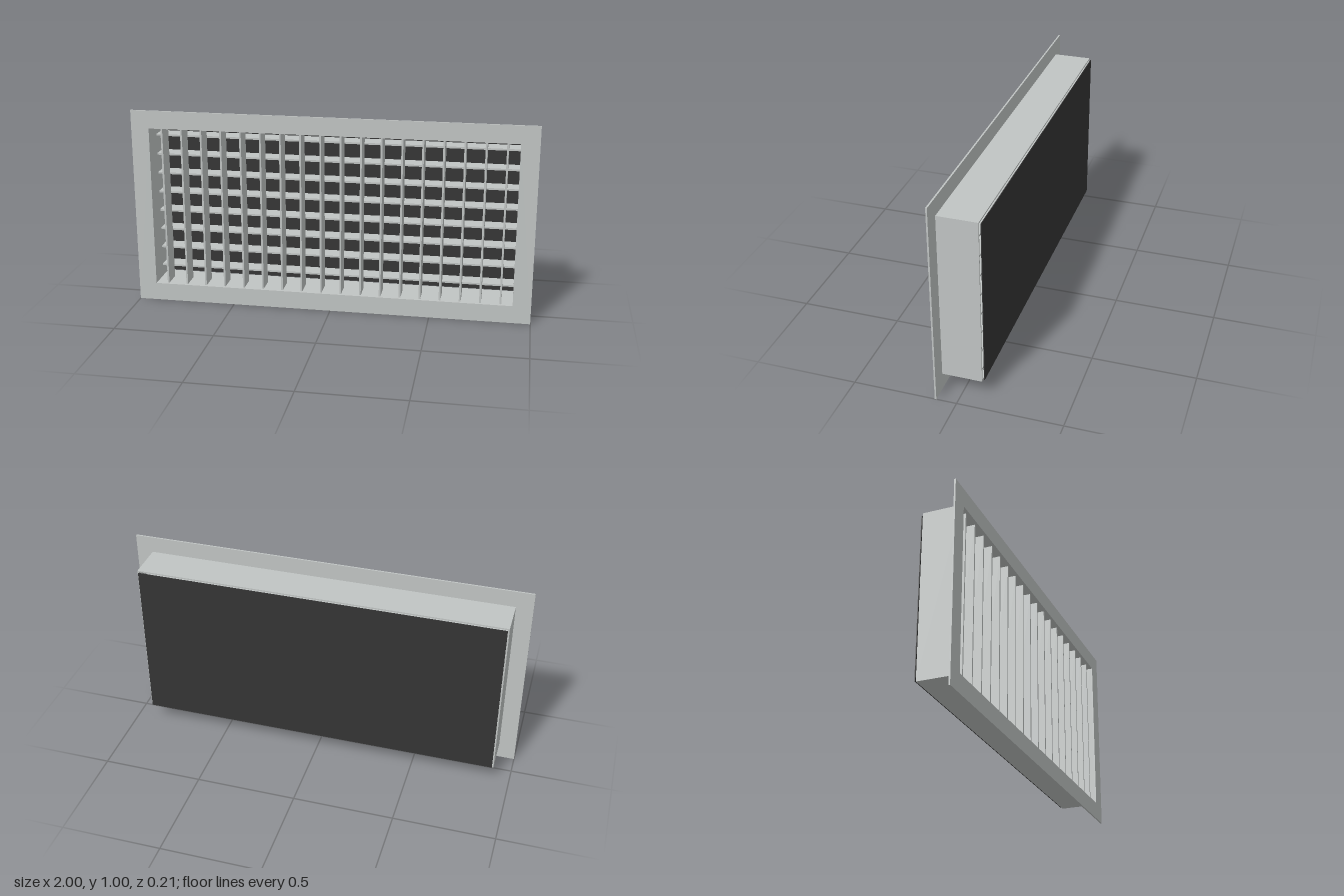
import * as THREE from 'three';

const metal = new THREE.MeshStandardMaterial({ color: 0xc0c4c3 });
metal.name = 'light grey metal';
const dark = new THREE.MeshStandardMaterial({ color: 0x343434 });
dark.name = 'dark backing';

// Rectangular ring extruded along z from z0 to z1
function ring(name, outerW, outerH, innerW, innerH, z0, z1) {
  const rect = (path, w, h) => path
    .moveTo(-w / 2, -h / 2).lineTo(w / 2, -h / 2)
    .lineTo(w / 2, h / 2).lineTo(-w / 2, h / 2).closePath();
  const shape = rect(new THREE.Shape(), outerW, outerH);
  shape.holes.push(rect(new THREE.Path(), innerW, innerH));
  const geometry = new THREE.ExtrudeGeometry(shape, { depth: z1 - z0, bevelEnabled: false });
  const mesh = new THREE.Mesh(geometry, metal);
  mesh.name = name;
  mesh.position.set(0, 0.5, z0);
  return mesh;
}

// Box spanning z0 to z1, centred on (x, y)
function slab(name, w, h, x, y, z0, z1, material) {
  const mesh = new THREE.Mesh(new THREE.BoxGeometry(w, h, z1 - z0), material);
  mesh.name = name;
  mesh.position.set(x, y, (z0 + z1) / 2);
  return mesh;
}

export function createModel() {
  const model = new THREE.Group();
  model.name = 'ventGrille';

  // Front flange and the duct collar behind it
  model.add(ring('frontFlange', 2, 1, 1.82, 0.82, 0.097, 0.105));
  model.add(ring('ductCollar', 1.834, 0.834, 1.82, 0.82, -0.094, 0.097));

  // Upright blades in front
  const uprights = new THREE.Group();
  uprights.name = 'verticalBlades';
  for (let i = 0; i < 18; i++) {
    uprights.add(slab('verticalBlade', 0.009, 0.82, -0.85 + i * 0.1, 0.5, -0.005, 0.09, metal));
  }
  model.add(uprights);

  // Level blades behind the uprights
  const levels = new THREE.Group();
  levels.name = 'horizontalBlades';
  for (let i = 0; i < 8; i++) {
    levels.add(slab('horizontalBlade', 1.82, 0.009, 0, 0.15 + i * 0.1, -0.094, -0.01, metal));
  }
  model.add(levels);

  // Backing plate, just clear of the collar
  model.add(slab('backPlate', 1.82, 0.82, 0, 0.5, -0.105, -0.101, dark));

  return model;
}
